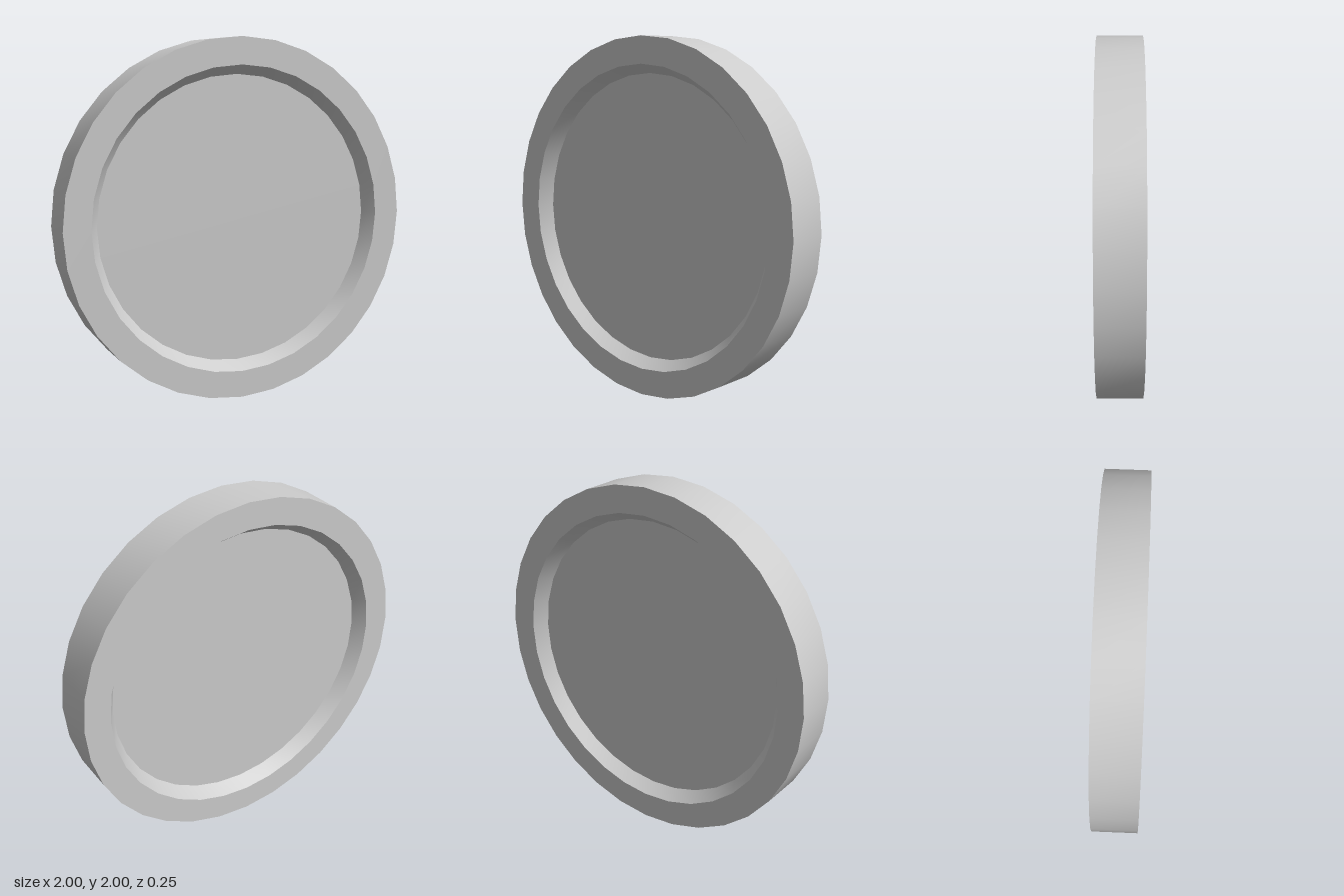
import * as THREE from 'three';
import { toCreasedNormals } from 'three/addons/utils/BufferGeometryUtils.js';

export function createModel() {
  const model = new THREE.Group();
  model.name = 'recessedDisc';
  const material = new THREE.MeshStandardMaterial({ color: 0xcccccc });

  const segments = 32;
  const outer = 1, lip = 0.85, floor = 0.8; // radii
  const half = 0.125, web = 0.051;          // half thickness of rim and web

  // Half profile from the rim's middle to the axis, mirrored for the other face
  const side = [[floor, web], [lip, half], [outer, half]];
  const profile = [
    [0, -web],
    ...side.map(([r, h]) => [r, -h]),
    ...side.slice().reverse(),
    [0, web],
  ].map(([r, h]) => new THREE.Vector2(r, h));

  // Turned disc with a raised rim and a sloped recess on both faces
  const geometry = toCreasedNormals(new THREE.LatheGeometry(profile, segments), Math.PI / 6);
  geometry.rotateX(Math.PI / 2);

  const disc = new THREE.Mesh(geometry, material);
  disc.name = 'rimmedDisc';
  disc.position.y = outer;
  model.add(disc);
  return model;
}
